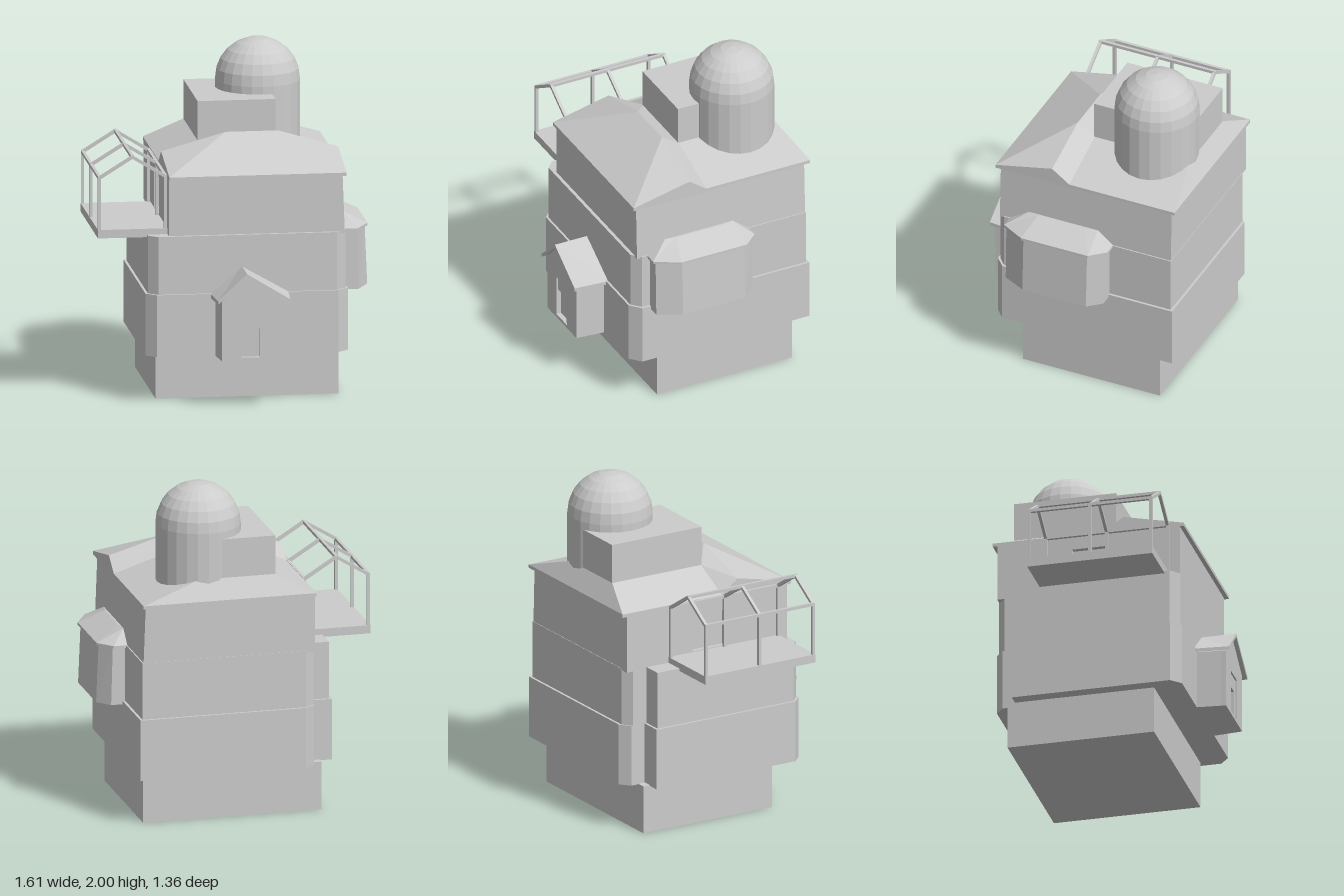
import * as THREE from 'three';

const stone = new THREE.MeshStandardMaterial({ color: 0xcccccc, flatShading: true });
stone.name = 'pale grey';

function add(parent, name, geometry) {
  const mesh = new THREE.Mesh(geometry, stone);
  mesh.name = name;
  parent.add(mesh);
  return mesh;
}

// Box given by its lower and upper limits on each axis
function box(parent, name, x0, x1, y0, y1, z0, z1) {
  const mesh = add(parent, name, new THREE.BoxGeometry(x1 - x0, y1 - y0, z1 - z0));
  mesh.position.set((x0 + x1) / 2, (y0 + y1) / 2, (z0 + z1) / 2);
  return mesh;
}

// Square bar between two points
function bar(parent, name, a, b, t = 0.018) {
  const from = new THREE.Vector3(...a), to = new THREE.Vector3(...b);
  const mesh = add(parent, name, new THREE.BoxGeometry(t, t, from.distanceTo(to)));
  mesh.position.copy(from).add(to).multiplyScalar(0.5);
  mesh.lookAt(to);
}

// Flat-faced geometry from polygons of corner points
function facets(polygons) {
  const pos = [];
  for (const p of polygons)
    for (let i = 1; i < p.length - 1; i++) pos.push(...p[0], ...p[i], ...p[i + 1]);
  const g = new THREE.BufferGeometry();
  g.setAttribute('position', new THREE.Float32BufferAttribute(pos, 3));
  g.computeVertexNormals();
  return g;
}

// Solid between two matching outlines in x,y at depths z0 and z1
function prism(p0, p1, z0, z1) {
  let a = p0.map(p => new THREE.Vector2(...p)), b = p1.map(p => new THREE.Vector2(...p));
  if (THREE.ShapeUtils.isClockWise(a)) { a.reverse(); b.reverse(); }
  const A = a.map(p => [p.x, p.y, z0]), B = b.map(p => [p.x, p.y, z1]);
  const faces = A.map((p, i) => {
    const j = (i + 1) % A.length;
    return [p, A[j], B[j], B[i]];
  });
  for (const [i, j, k] of THREE.ShapeUtils.triangulateShape(a, []))
    faces.push([A[k], A[j], A[i]], [B[i], B[j], B[k]]);
  return facets(faces);
}

// Upright solid from plans in x,z
function storey(p0, p1, y0, y1) {
  const flip = p => p.map(([x, z]) => [x, -z]);
  return prism(flip(p0), flip(p1), y0, y1).rotateX(-Math.PI / 2);
}

// Wall panel with a rectangular opening
function panel(outline, [u0, u1, v0, v1], depth) {
  const shape = new THREE.Shape(outline.map(p => new THREE.Vector2(...p)));
  shape.holes.push(new THREE.Path([[u0, v0], [u0, v1], [u1, v1], [u1, v0]].map(p => new THREE.Vector2(...p))));
  return new THREE.ExtrudeGeometry(shape, { depth, bevelEnabled: false });
}

function buildRoof(g) {
  box(g, 'eaves', -0.4, 0.645, 1.335, 1.355, -0.68, 0.475);
  const y = 1.355;
  const A = [-0.4, y, 0.475], B = [0.645, y, 0.475];
  const GL = [-0.4, 1.435, 0.11], GR = [0.645, 1.435, 0.11];
  const RL = [-0.02, 1.54, 0.11], RR = [0.29, 1.54, 0.11];
  const VL = [-0.4, y, 0], VR = [0.645, y, 0];
  const TL = [-0.17, 1.47, 0], TR = [0.29, 1.47, 0];
  const KL = [-0.17, 1.47, -0.61], KR = [0.29, 1.47, -0.61];
  const CL = [-0.4, y, -0.68], CR = [0.645, y, -0.68];
  add(g, 'frontRoof', facets([
    [A, B, RR, RL], [A, RL, GL], [B, GR, RR], [A, GL, VL], [B, VR, GR],
    [RL, RR, TR, TL], [GL, RL, TL, VL], [GR, VR, TR, RR],
  ]));
  add(g, 'backRoof', facets([
    [VL, TL, KL, CL], [VR, CR, KR, TR], [CL, KL, KR, CR], [TL, TR, KR, KL],
  ]));
  box(g, 'roofBlock', -0.17, 0.29, 1.4, 1.705, -0.61, 0.005);

  // Domed tower
  const profile = [new THREE.Vector2(0.25, 1.37)];
  for (let i = 0; i <= 6; i++) {
    const t = (i / 6) * Math.PI / 2;
    profile.push(new THREE.Vector2(0.25 * Math.cos(t), 1.75 + 0.25 * Math.sin(t)));
  }
  add(g, 'domeTower', new THREE.LatheGeometry(profile, 24)).position.set(0.235, 0, -0.375);
}

function buildBay(g) {
  const plan = (a, b) => [[0.6, 0.37], [a, 0.37], [b, 0.23], [b, -0.18], [a, -0.26], [0.6, -0.26]];
  add(g, 'bayWalls', storey(plan(0.73, 0.8), plan(0.72, 0.785), 0.635, 0.99));
  const eave = [[0.6, 0.385], [0.72, 0.385], [0.8, 0.24], [0.8, -0.19], [0.72, -0.28], [0.6, -0.28]];
  const ridge = [[0.6, 0.265], [0.635, 0.265], [0.645, 0.2], [0.645, -0.1], [0.635, -0.18], [0.6, -0.18]];
  add(g, 'bayEaves', storey(eave, eave, 0.985, 1.0));
  add(g, 'bayRoof', storey(eave, ridge, 1.0, 1.075));
}

function buildPorch(g) {
  // Front wall with doorway, splayed body behind it
  const gable = (l, r) => [[l, 0.285], [r, 0.285], [r, 0.64], [0.03, 0.79], [l, 0.64]];
  add(g, 'porchFront', panel(gable(-0.115, 0.26), [0, 0.14, 0.305, 0.56], 0.03)).position.z = 0.625;
  add(g, 'porchBody', prism(gable(-0.135, 0.28), gable(-0.117, 0.262), 0.44, 0.625));
  box(g, 'doorLintel', 0, 0.14, 0.475, 0.56, 0.62, 0.645);
  box(g, 'doorPost', 0.11, 0.14, 0.305, 0.475, 0.62, 0.645);
  const roof = (l, r) => [[l, 0.652], [0.03, 0.81], [r, 0.652], [r, 0.63], [0.03, 0.788], [l, 0.63]];
  add(g, 'porchRoof', prism(roof(-0.16, 0.305), roof(-0.14, 0.285), 0.45, 0.68));
}

function buildBalcony(g) {
  box(g, 'balconyFloor', -0.81, -0.4, 0.985, 1.035, -0.365, 0.39);
  const L = -0.8, R = -0.412, M = -0.606, E = 1.345, P = 1.465;
  // Gabled frames
  for (const z of [-0.355, 0.012, 0.38]) {
    bar(g, 'balconyPost', [L, 1.03, z], [L, E + 0.005, z]);
    bar(g, 'balconyPost', [R, 1.03, z], [R, E + 0.005, z]);
    bar(g, 'balconyRafter', [L, E, z], [M, P, z]);
    bar(g, 'balconyRafter', [R, E, z], [M, P, z]);
  }
  // Long rails
  for (const [x, y] of [[L, E], [R, E], [M, P]])
    bar(g, 'balconyRail', [x, y, -0.364], [x, y, 0.389]);
}

export function createModel() {
  const model = new THREE.Group();
  model.name = 'house';
  const part = (name, build) => {
    const g = new THREE.Group();
    g.name = name;
    build(g);
    model.add(g);
  };

  // Stacked storeys with bevelled corners and a notched back corner
  box(model, 'base', -0.46, 0.62, 0, 0.29, -0.575, 0.31);
  const lower = [[-0.475, 0.483], [0.595, 0.483], [0.66, 0.425], [0.66, -0.67], [-0.34, -0.67],
    [-0.4, -0.62], [-0.4, -0.53], [-0.535, -0.53], [-0.535, 0.425]];
  const middle = [[-0.465, 0.47], [0.59, 0.47], [0.645, 0.42], [0.645, -0.655], [-0.345, -0.655],
    [-0.4, -0.61], [-0.4, -0.515], [-0.52, -0.515], [-0.52, 0.42]];
  add(model, 'lowerStorey', storey(lower, lower, 0.285, 0.655));
  add(model, 'middleStorey', storey(middle, middle, 0.65, 1.0));
  const upper = x => [[-0.37, 0.45], [x, 0.45], [x, -0.652], [-0.37, -0.652]];
  add(model, 'upperStorey', storey(upper(0.638), upper(0.625), 0.99, 1.34));

  // Side wall with the balcony doorway
  const side = panel([[-0.652, 0.99], [0.45, 0.99], [0.45, 1.34], [-0.652, 1.34]],
    [-0.2, 0.02, 1.04, 1.26], 0.03).rotateY(-Math.PI / 2);
  add(model, 'balconyWall', side).position.x = -0.37;

  part('roof', buildRoof);
  part('bayWindow', buildBay);
  part('porch', buildPorch);
  part('balcony', buildBalcony);
  return model;
}
